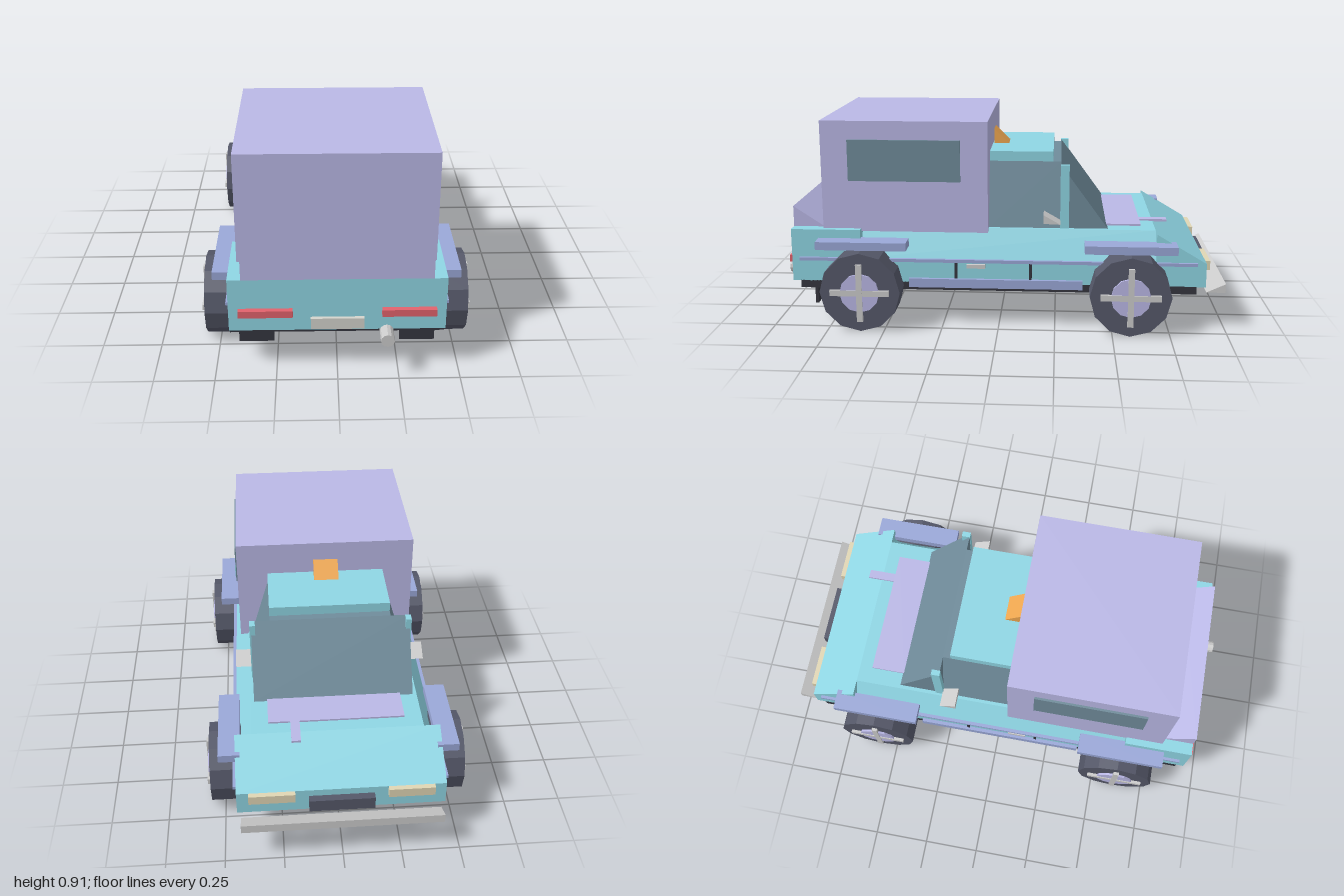
import * as THREE from 'three';

const COLORS = {
  body: 0x8fd6e4, lavender: 0xbab8e6, blue: 0x9aa8d8, dark: 0x555869, black: 0x35363f,
  glass: 0x708c9b, grey: 0xcccccc, orange: 0xf0a850, red: 0xe2626c, cream: 0xe0d6b4, plate: 0xd4d4cc,
};
const materials = {};
for (const [key, color] of Object.entries(COLORS)) {
  materials[key] = new THREE.MeshStandardMaterial({ color, flatShading: true });
}

export function createModel() {
  const model = new THREE.Group();
  model.name = 'camperTruck';

  const add = (name, geometry, color, parent = model) => {
    const mesh = new THREE.Mesh(geometry, materials[color]);
    mesh.name = name;
    parent.add(mesh);
    return mesh;
  };
  // Box given by its limits on each axis
  const box = (name, color, [x0, x1], [y0, y1], [z0, z1]) => {
    const g = new THREE.BoxGeometry(x1 - x0, y1 - y0, z1 - z0);
    g.translate((x0 + x1) / 2, (y0 + y1) / 2, (z0 + z1) / 2);
    return add(name, g, color);
  };
  const extrude = (points, depth) => new THREE.ExtrudeGeometry(
    new THREE.Shape(points.map(([a, b]) => new THREE.Vector2(a, b))), { depth, bevelEnabled: false });
  // Side profile of (z, y) points, extruded across x
  const profile = (name, color, points, [x0, x1]) => {
    const g = extrude(points, x1 - x0);
    g.rotateY(-Math.PI / 2);
    g.translate(x1, 0, 0);
    return add(name, g, color);
  };
  // Cross-section of (x, y) points, extruded along z
  const section = (name, color, points, [z0, z1]) => {
    const g = extrude(points, z1 - z0);
    g.translate(0, 0, z0);
    return add(name, g, color);
  };
  // Limits mirrored to the given side
  const span = (s, a, b) => (s > 0 ? [a, b] : [-b, -a]);

  // Body: square tail, middle with sloped shoulders, wedge nose
  box('chassis', 'black', [-0.44, 0.44], [0.16, 0.195], [-0.87, 0.89]);
  box('tailBody', 'body', [-0.44, 0.44], [0.193, 0.43], [0.615, 0.925]);
  section('middleBody', 'body',
    [[-0.44, 0.193], [0.44, 0.193], [0.44, 0.3], [0.37, 0.43], [-0.37, 0.43], [-0.44, 0.3]], [-0.69, 0.615]);
  profile('nose', 'body', [[-0.69, 0.193], [-0.69, 0.43], [-0.91, 0.3], [-0.91, 0.193]], [-0.44, 0.44]);

  // Camper box and tail spoiler
  box('camper', 'lavender', [-0.41, 0.41], [0.418, 0.912], [0.05, 0.785]);
  profile('tailSpoiler', 'lavender', [[0.785, 0.43], [0.925, 0.43], [0.925, 0.522]], [-0.385, 0.385]);

  // Cab
  section('cabGlass', 'glass', [[-0.355, 0.43], [0.355, 0.43], [0.27, 0.716], [-0.27, 0.716]], [-0.27, 0.05]);
  profile('windshield', 'glass', [[-0.48, 0.43], [-0.27, 0.43], [-0.27, 0.716]], [-0.353, 0.353]);
  box('roof', 'body', [-0.27, 0.27], [0.715, 0.76], [-0.235, 0.05]);
  profile('roofBeacon', 'orange', [[-0.025, 0.76], [0.045, 0.76], [0.045, 0.828]], [-0.058, 0.055]);

  // Hood panels
  box('hoodPanel', 'lavender', [-0.295, 0.295], [0.428, 0.438], [-0.63, -0.475]);
  box('hoodStrip', 'lavender', [0.16, 0.2], [0.428, 0.438], [-0.755, -0.63]);

  // Front and rear fittings
  profile('frontBumper', 'grey', [[-0.915, 0.165], [-1, 0.165], [-1, 0.205]], [-0.425, 0.425]);
  box('grille', 'dark', [-0.138, 0.138], [0.21, 0.268], [-0.942, -0.905]);
  box('numberPlate', 'plate', [-0.108, 0.108], [0.205, 0.255], [0.92, 0.94]);
  const pipe = new THREE.CylinderGeometry(0.028, 0.028, 0.09, 12);
  pipe.rotateX(Math.PI / 2);
  pipe.translate(0.2, 0.185, 0.955);
  add('exhaust', pipe, 'grey');

  for (const s of [1, -1]) {
    const side = s > 0 ? 'left' : 'right';

    // Lights and mud flaps
    box(side + 'Headlight', 'cream', span(s, 0.195, 0.39), [0.258, 0.3], [-0.932, -0.9]);
    box(side + 'TailLight', 'red', span(s, 0.18, 0.4), [0.266, 0.297], [0.92, 0.948]);
    box(side + 'MudFlap', 'black', span(s, 0.262, 0.408), [0.077, 0.165], [0.822, 0.836]);

    // Side windows, pillars and mirrors
    box(side + 'CamperWindow', 'glass', span(s, 0.4, 0.42), [0.647, 0.83], [0.17, 0.665]);
    box(side + 'Pillar', 'body', span(s, 0.335, 0.36), [0.43, 0.716], [-0.307, -0.268]);
    profile(side + 'Mirror', 'grey', [[-0.27, 0.465], [-0.195, 0.468], [-0.195, 0.507]], span(s, 0.342, 0.43));

    // Trim, rocker, door seams and handle
    box(side + 'SideTrim', 'blue', span(s, 0.43, 0.453), [0.29, 0.304], [-0.87, 0.89]);
    box(side + 'Rocker', 'blue', span(s, 0.43, 0.456), [0.175, 0.215], [-0.37, 0.4]);
    for (const z of [0.19, -0.14]) {
      box(side + 'DoorSeam', 'black', span(s, 0.435, 0.446), [0.213, 0.292], [z - 0.006, z + 0.006]);
    }
    box(side + 'DoorHandle', 'grey', span(s, 0.435, 0.456), [0.266, 0.283], [0.06, 0.142]);

    for (const [end, z] of [['Rear', 0.602], ['Front', -0.576]]) {
      box(side + end + 'Fender', 'blue', span(s, 0.42, 0.512), [0.356, 0.392], [z - 0.2, z + 0.2]);

      // Wheel with hub and cross spokes
      const wheel = new THREE.Group();
      wheel.name = side + end + 'Wheel';
      wheel.position.set(s * 0.485, 0.178, z);
      model.add(wheel);
      for (const [name, color, r, w, x] of [['tyre', 'dark', 0.177, 0.14, 0], ['hub', 'lavender', 0.087, 0.02, 0.07]]) {
        const g = new THREE.CylinderGeometry(r, r, w, 12);
        g.rotateZ(Math.PI / 2);
        g.translate(s * x, 0, 0);
        add(name, g, color, wheel);
      }
      for (const [h, d, w] of [[0.26, 0.026, 0.022], [0.026, 0.26, 0.021]]) {
        const g = new THREE.BoxGeometry(w, h, d);
        g.translate(s * 0.073, 0, 0);
        add('spoke', g, 'grey', wheel);
      }
    }
  }
  return model;
}
